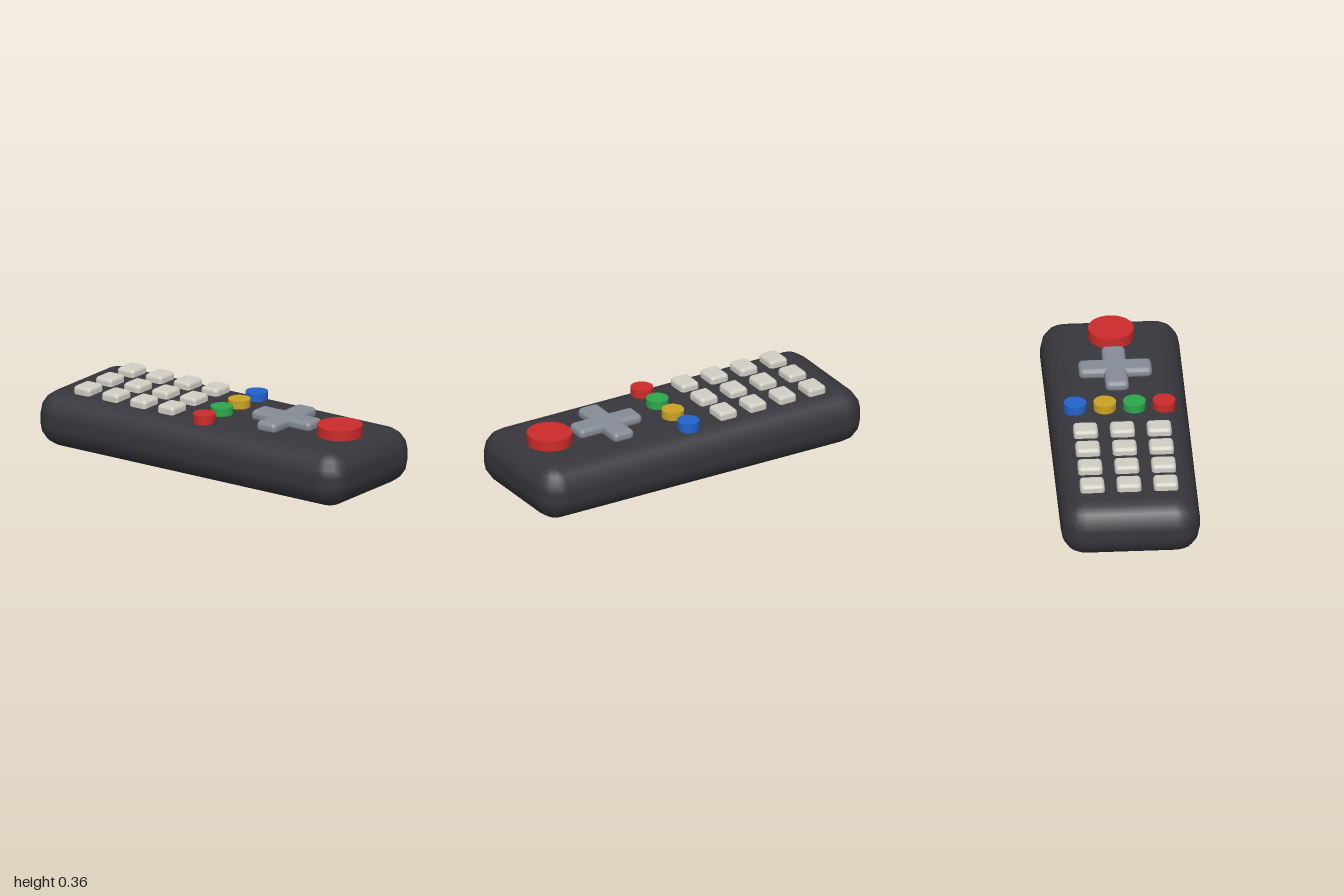
import * as THREE from 'three';

const paint = (name, color) => Object.assign(new THREE.MeshStandardMaterial({ color }), { name });

// Box with evenly rounded edges, made of stacked rounded-rectangle rings
function roundedBox(w, h, d, r, n) {
  const pos = [], nor = [], idx = [];
  const ring = 4 * (n + 1), levels = 2 * (n + 1);
  for (let j = 0; j < levels; j++) {
    const upper = j > n;
    const phi = ((upper ? j - n - 1 : j - n) / n) * Math.PI / 2;
    for (let i = 0; i < ring; i++) {
      const q = Math.floor(i / (n + 1));
      const a = (q + (i % (n + 1)) / n) * Math.PI / 2;
      const nx = Math.cos(phi) * Math.cos(a), ny = Math.sin(phi), nz = Math.cos(phi) * Math.sin(a);
      const sx = q === 0 || q === 3 ? 1 : -1, sz = q < 2 ? 1 : -1;
      pos.push(sx * (w / 2 - r) + r * nx, (upper ? 1 : -1) * (h / 2 - r) + r * ny, sz * (d / 2 - r) + r * nz);
      nor.push(nx, ny, nz);
    }
  }
  for (let j = 0; j < levels - 1; j++) {
    for (let i = 0; i < ring; i++) {
      const a = j * ring + i, b = j * ring + (i + 1) % ring;
      idx.push(a, a + ring, b + ring, a, b + ring, b);
    }
  }
  // Flat bottom and top
  const s = n + 1, t = (levels - 1) * ring;
  idx.push(0, s, 2 * s, 0, 2 * s, 3 * s);
  idx.push(t, t + 2 * s, t + s, t, t + 3 * s, t + 2 * s);
  const geo = new THREE.BufferGeometry();
  geo.setAttribute('position', new THREE.Float32BufferAttribute(pos, 3));
  geo.setAttribute('normal', new THREE.Float32BufferAttribute(nor, 3));
  geo.setIndex(idx);
  return geo;
}

export function createModel() {
  const model = new THREE.Group();
  model.name = 'remoteControl';

  const charcoal = paint('charcoal', 0x36363c);
  const red = paint('red', 0xcc2b2b);
  const green = paint('green', 0x2ba84a);
  const yellow = paint('yellow', 0xc9a224);
  const blue = paint('blue', 0x2163cc);
  const ivory = paint('ivory', 0xd0cec4);
  const grey = paint('grey', 0x868c96);

  function add(name, geo, mat, x, y, z, parent = model) {
    const mesh = new THREE.Mesh(geo, mat);
    mesh.name = name;
    mesh.position.set(x, y, z);
    parent.add(mesh);
    return mesh;
  }

  // Casing
  const H = 0.305;
  add('casing', roundedBox(0.738, H, 2, 0.13, 4), charcoal, 0, H / 2, 0);

  // Number keys, four rows of three
  const keypad = new THREE.Group();
  keypad.name = 'keypad';
  model.add(keypad);
  const keyGeo = roundedBox(0.13, 0.06, 0.11, 0.02, 3);
  for (let row = 0; row < 4; row++) {
    for (let col = -1; col <= 1; col++) {
      add('key', keyGeo, ivory, col * 0.195, 0.316, -0.198 - row * 0.183, keypad);
    }
  }

  // Row of coloured buttons
  const dotGeo = new THREE.CylinderGeometry(0.06, 0.06, 0.052, 24);
  [red, green, yellow, blue].forEach((mat, i) => {
    add(mat.name + 'Button', dotGeo, mat, -0.236 + i * 0.157, 0.323, 0.043);
  });

  // Direction pad: two crossed bars
  const pad = new THREE.Group();
  pad.name = 'directionPad';
  model.add(pad);
  add('padBarAcross', roundedBox(0.388, 0.06, 0.125, 0.025, 3), grey, 0, 0.323, 0.41, pad);
  add('padBarAlong', roundedBox(0.125, 0.06, 0.388, 0.025, 3), grey, 0, 0.323, 0.41, pad);

  // Power button
  add('powerButton', new THREE.CylinderGeometry(0.121, 0.121, 0.062, 32), red, 0, 0.332, 0.76);

  return model;
}
